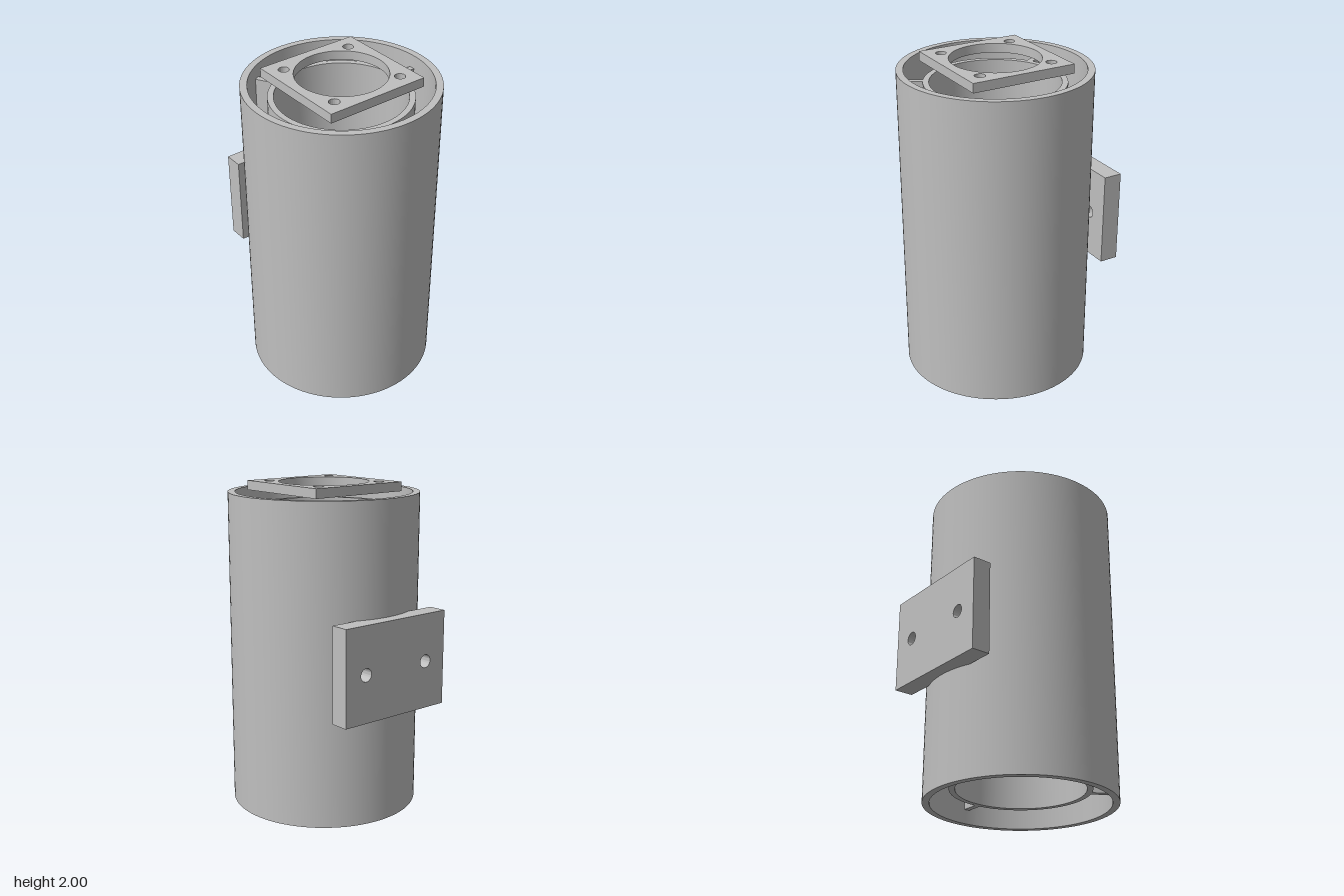
import * as THREE from 'three';
import { toCreasedNormals } from 'three/addons/utils/BufferGeometryUtils.js';

const AXIS_Z = 0.037; // the tube axis sits slightly forward of the centre
const MID_Y = 0.97;

export function createModel() {
  const model = new THREE.Group();
  model.name = 'tubeHousing';
  const grey = new THREE.MeshStandardMaterial({ color: 0xbfbfbf });
  grey.name = 'grey';

  const body = new THREE.Group();
  body.name = 'body';
  body.position.z = AXIS_Z;
  model.add(body);

  const add = (name, geometry, x = 0, y = 0, z = 0) => {
    const mesh = new THREE.Mesh(geometry, grey);
    mesh.name = name;
    mesh.position.set(x, y, z);
    body.add(mesh);
    return mesh;
  };

  // Hollow tube with sharp rims
  const tube = (outer, inner, y0, y1) => {
    const profile = [[outer, y0], [outer, y1], [inner, y1], [inner, y0], [outer, y0]];
    const points = profile.map(([r, y]) => new THREE.Vector2(r, y));
    return toCreasedNormals(new THREE.LatheGeometry(points, 96), 0.6);
  };

  // Rectangular plate with round holes given as [x, y, radius]
  const plate = (w, h, depth, holes) => {
    const shape = new THREE.Shape();
    shape.moveTo(-w / 2, -h / 2);
    shape.lineTo(w / 2, -h / 2);
    shape.lineTo(w / 2, h / 2);
    shape.lineTo(-w / 2, h / 2);
    shape.closePath();
    for (const [x, y, r] of holes) {
      const hole = new THREE.Path();
      hole.absarc(x, y, r, 0, Math.PI * 2, true);
      shape.holes.push(hole);
    }
    const geometry = new THREE.ExtrudeGeometry(shape, { depth, bevelEnabled: false, curveSegments: 48 });
    return toCreasedNormals(geometry, 0.6);
  };

  // Concentric tubes
  add('outerTube', tube(0.58, 0.537, 0, 1.943));
  add('innerTube', tube(0.426, 0.39, 0.09, 1.86));

  // Three radial ribs joining the tubes
  for (let i = 0; i < 3; i++) {
    const a = (i * Math.PI * 2) / 3;
    const rib = add('rib', new THREE.BoxGeometry(0.135, 1.77, 0.037),
      Math.cos(a) * 0.4825, 0.975, -Math.sin(a) * 0.4825);
    rib.rotation.y = a;
  }

  // Square top flange with a central bore and four bolt holes
  const bolts = [[-1, -1], [1, -1], [1, 1], [-1, 1]].map(([x, y]) => [x * 0.234, y * 0.234, 0.032]);
  const flange = plate(0.66, 0.66, 0.057, [[0, 0, 0.273], ...bolts]);
  flange.rotateX(-Math.PI / 2);
  add('topFlange', flange, 0, 1.943, 0);

  // Flat panel set into the front of the inner tube
  add('innerPanel', new THREE.BoxGeometry(0.545, 1.18, 0.018), 0, MID_Y, 0.359);

  // Rear mounting block with two screw holes, seated in the outer wall
  const block = plate(0.775, 0.58, 0.117, [[-0.235, 0, 0.04], [0.235, 0, 0.04]]);
  add('mountingBlock', block, 0, MID_Y, -0.659);

  return model;
}
